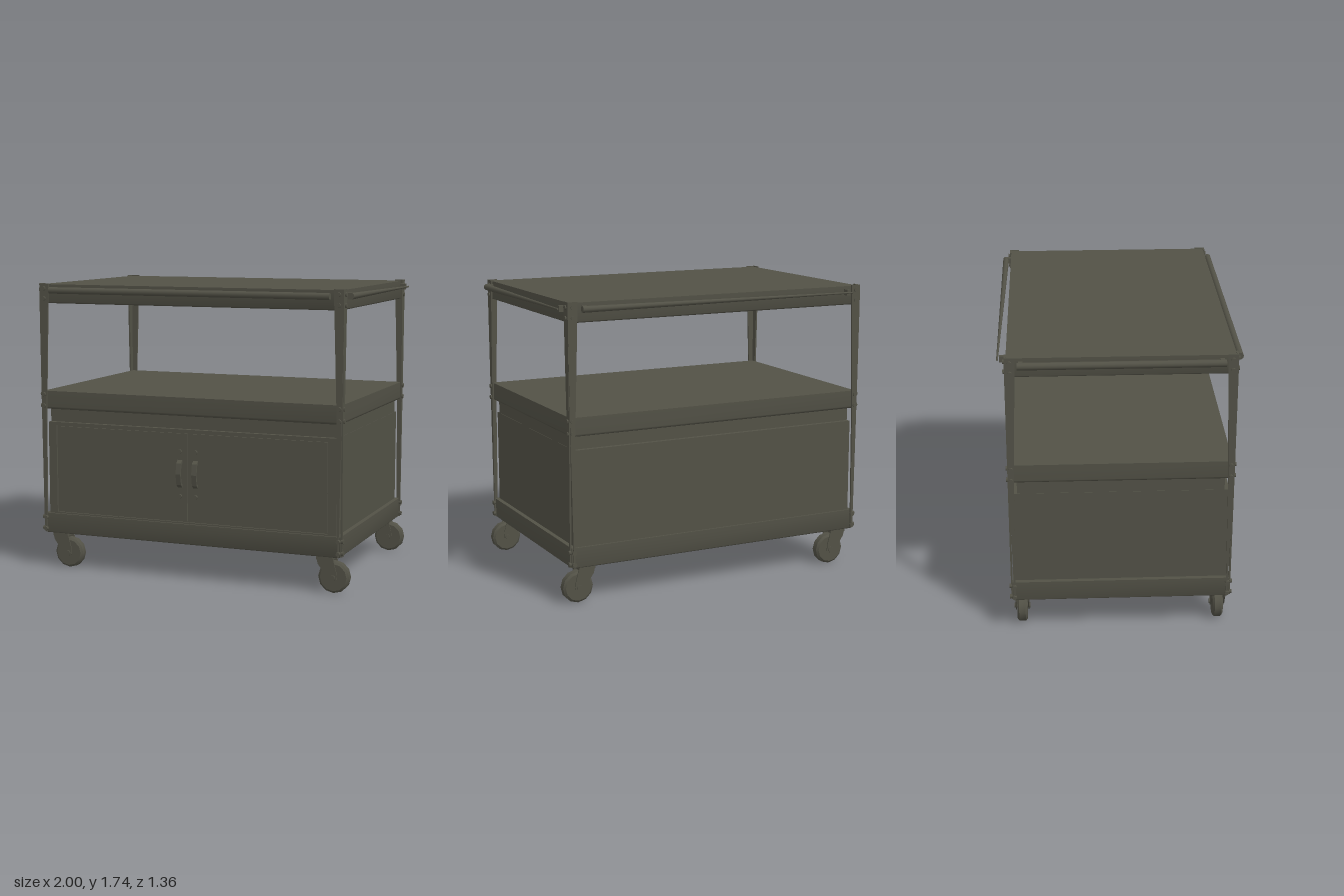
import * as THREE from 'three';
import { toCreasedNormals } from 'three/addons/utils/BufferGeometryUtils.js';

const paint = new THREE.MeshStandardMaterial({ color: 0x525146 });
paint.name = 'olive grey paint';

function add(parent, name, geometry, x = 0, y = 0, z = 0) {
  const mesh = new THREE.Mesh(geometry, paint);
  mesh.name = name;
  mesh.position.set(x, y, z);
  parent.add(mesh);
  return mesh;
}

// Box given by its limits
function block(parent, name, x0, x1, y0, y1, z0, z1) {
  return add(parent, name, new THREE.BoxGeometry(x1 - x0, y1 - y0, z1 - z0),
    (x0 + x1) / 2, (y0 + y1) / 2, (z0 + z1) / 2);
}

const outline = (points) => new THREE.Shape(points.map(([a, b]) => new THREE.Vector2(a, b)));
const extrude = (shape, depth) => new THREE.ExtrudeGeometry(shape, { depth, bevelEnabled: false });

// Slab with square top edges and rolled lower edges, lofted from rectangles
function shelfGeometry(w, d, y0, y1, r) {
  const rings = [[0, y1]];
  for (let i = 0; i <= 4; i++) {
    const a = (i / 4) * Math.PI / 2;
    rings.push([r * (1 - Math.cos(a)), y0 + r * (1 - Math.sin(a))]);
  }
  const corners = ([inset, y]) => [[-1, 1], [1, 1], [1, -1], [-1, -1]]
    .map(([sx, sz]) => [sx * (w - inset), y, sz * (d - inset)]);
  const points = [];
  const quad = (a, b, c, e) => points.push(...a, ...b, ...c, ...a, ...c, ...e);
  for (let i = 0; i < rings.length - 1; i++) {
    const upper = corners(rings[i]), lower = corners(rings[i + 1]);
    for (let k = 0; k < 4; k++) {
      const n = (k + 1) % 4;
      quad(lower[k], lower[n], upper[n], upper[k]);
    }
  }
  const top = corners(rings[0]), bottom = corners(rings[rings.length - 1]);
  quad(top[0], top[1], top[2], top[3]);
  quad(bottom[3], bottom[2], bottom[1], bottom[0]);
  const g = new THREE.BufferGeometry();
  g.setAttribute('position', new THREE.Float32BufferAttribute(points, 3));
  g.computeVertexNormals();
  return toCreasedNormals(g, 0.6);
}

// Tapered flange of an angle post: outer edge near x = 0, width along +x
function flangeGeometry() {
  return extrude(outline([[0, 1.74], [0, 1.6], [0.006, 1.0], [0.018, 0.22], [0.026, 0.22],
    [0.036, 1.0], [0.056, 1.62], [0.06, 1.74]]), 0.01);
}

function bolt(parent, x, y, z, axis) {
  const m = add(parent, 'bolt', new THREE.CylinderGeometry(0.012, 0.014, 0.016, 8), x, y, z);
  if (axis === 'x') m.rotation.z = Math.PI / 2;
  else m.rotation.x = Math.PI / 2;
}

// Angle post with bolts, for the corner at (sx, sz)
function post(sx, sz) {
  const g = new THREE.Group();
  g.name = 'cornerPost';
  const f = add(g, 'frontFlange', flangeGeometry(), sx * 0.957, 0, sz > 0 ? 0.63 : -0.64);
  if (sx > 0) {
    f.rotation.y = Math.PI;
    f.position.z += 0.01;
  }
  const s = add(g, 'sideFlange', flangeGeometry(), sx > 0 ? 0.947 : -0.957, 0, sz * 0.64);
  s.rotation.y = sz > 0 ? Math.PI / 2 : -Math.PI / 2;
  if (sz < 0) s.position.x += 0.01;
  for (const y of [1.71, 1.65, 1.07, 1.0, 0.31, 0.24]) {
    const inset = y > 1.5 ? 0.03 : 0.02;
    bolt(g, sx * (0.957 - inset), y, sz * 0.641, 'z');
    bolt(g, sx * 0.957, y, sz * (0.64 - inset), 'x');
  }
  return g;
}

// Swivel castor whose wheel trails toward +x
function castor(x, z) {
  const g = new THREE.Group();
  g.name = 'castor';
  g.position.set(x, 0, z);
  const profile = [[0, -0.03], [0.08, -0.03], [0.093, -0.019], [0.093, 0.019], [0.08, 0.03], [0, 0.03]]
    .map(([r, y]) => new THREE.Vector2(r, y));
  const wheel = add(g, 'wheel', toCreasedNormals(new THREE.LatheGeometry(profile, 12), 0.6), 0.05, 0.094, 0);
  wheel.rotation.x = Math.PI / 2;
  const axle = add(g, 'axle', new THREE.CylinderGeometry(0.016, 0.016, 0.094, 8), 0.05, 0.094, 0);
  axle.rotation.x = Math.PI / 2;
  block(g, 'forkTop', -0.05, 0.05, 0.198, 0.214, -0.042, 0.042);
  const cheek = outline([[-0.05, 0.208], [-0.04, 0.17], [0.025, 0.08], [0.05, 0.068],
    [0.075, 0.085], [0.07, 0.13], [0.05, 0.208]]);
  for (const zc of [-0.04, 0.034]) add(g, 'forkCheek', extrude(cheek, 0.006), 0, 0, zc);
  return g;
}

// Push rail: bar along x, outer side kept straight when the bar tapers
function rail(length, rLeft, rRight) {
  const g = new THREE.Group();
  g.name = 'rail';
  const bar = add(g, 'railBar', new THREE.CylinderGeometry(rLeft, rRight, length, 10));
  bar.rotation.set(0, Math.atan((rRight - rLeft) / length), Math.PI / 2, 'YXZ');
  bar.position.z = 0.021 - (rLeft + rRight) / 2;
  for (const s of [-1, 1]) {
    const x = s * (length / 2 - 0.02);
    block(g, 'railBracket', x - 0.012, x + 0.012, -0.018, 0.018, -0.03, 0.004);
  }
  return g;
}

export function createModel() {
  const cart = new THREE.Group();
  cart.name = 'serviceCart';

  // Shelves
  add(cart, 'topShelf', shelfGeometry(0.945, 0.63, 1.621, 1.735, 0.015));
  add(cart, 'middleShelf', shelfGeometry(0.945, 0.628, 0.979, 1.09, 0.015));
  add(cart, 'bottomShelf', shelfGeometry(0.947, 0.63, 0.212, 0.336, 0.015));

  // Cabinet: body below, slightly shallower neck under the middle shelf
  block(cart, 'cabinetNeck', -0.918, 0.918, 0.89, 0.985, -0.59, 0.59);
  block(cart, 'cabinetBody', -0.92, 0.92, 0.33, 0.9, -0.618, 0.606);

  // Door frame with its opening
  const frame = outline([[-0.92, 0.333], [0.92, 0.333], [0.92, 0.9], [-0.92, 0.9]]);
  frame.holes.push(outline([[-0.868, 0.345], [0.868, 0.345], [0.868, 0.882], [-0.868, 0.882]]));
  add(cart, 'doorFrame', extrude(frame, 0.012), 0, 0, 0.606);

  // Doors and bowed handles
  const bow = outline([[-0.606, 0.545], [-0.636, 0.57], [-0.648, 0.635], [-0.636, 0.7], [-0.606, 0.725],
    [-0.606, 0.705], [-0.628, 0.688], [-0.636, 0.635], [-0.628, 0.582], [-0.606, 0.565]]);
  for (const s of [-1, 1]) {
    const x0 = s * 0.4335;
    block(cart, 'door', x0 - 0.4285, x0 + 0.4285, 0.352, 0.875, 0.604, 0.615);
    const handle = add(cart, 'doorHandle', extrude(bow, 0.03), s * 0.05 - 0.015, 0, 0);
    handle.rotation.y = Math.PI / 2;
    for (const y of [0.5, 0.768]) bolt(cart, s * 0.05, y, 0.616, 'z');
  }

  // Posts and castors at the four corners
  for (const sx of [-1, 1]) {
    for (const sz of [-1, 1]) {
      cart.add(post(sx, sz));
      cart.add(castor(sx * 0.85, sz * 0.58));
    }
  }

  // Rails around the top shelf: front, back, right, left
  const rails = [
    [1.76, 0.02, 0.02, 0, 0.655, 0],
    [1.76, 0.019, 0.005, 0, -0.662, Math.PI],
    [1.14, 0.021, 0.021, -0.979, 0, -Math.PI / 2],
    [1.18, 0.019, 0.005, 0.979, 0, Math.PI / 2],
  ];
  for (const [length, a, b, x, z, turn] of rails) {
    const r = rail(length, a, b);
    r.position.set(x, 1.7, z);
    r.rotation.y = turn;
    cart.add(r);
  }
  return cart;
}
